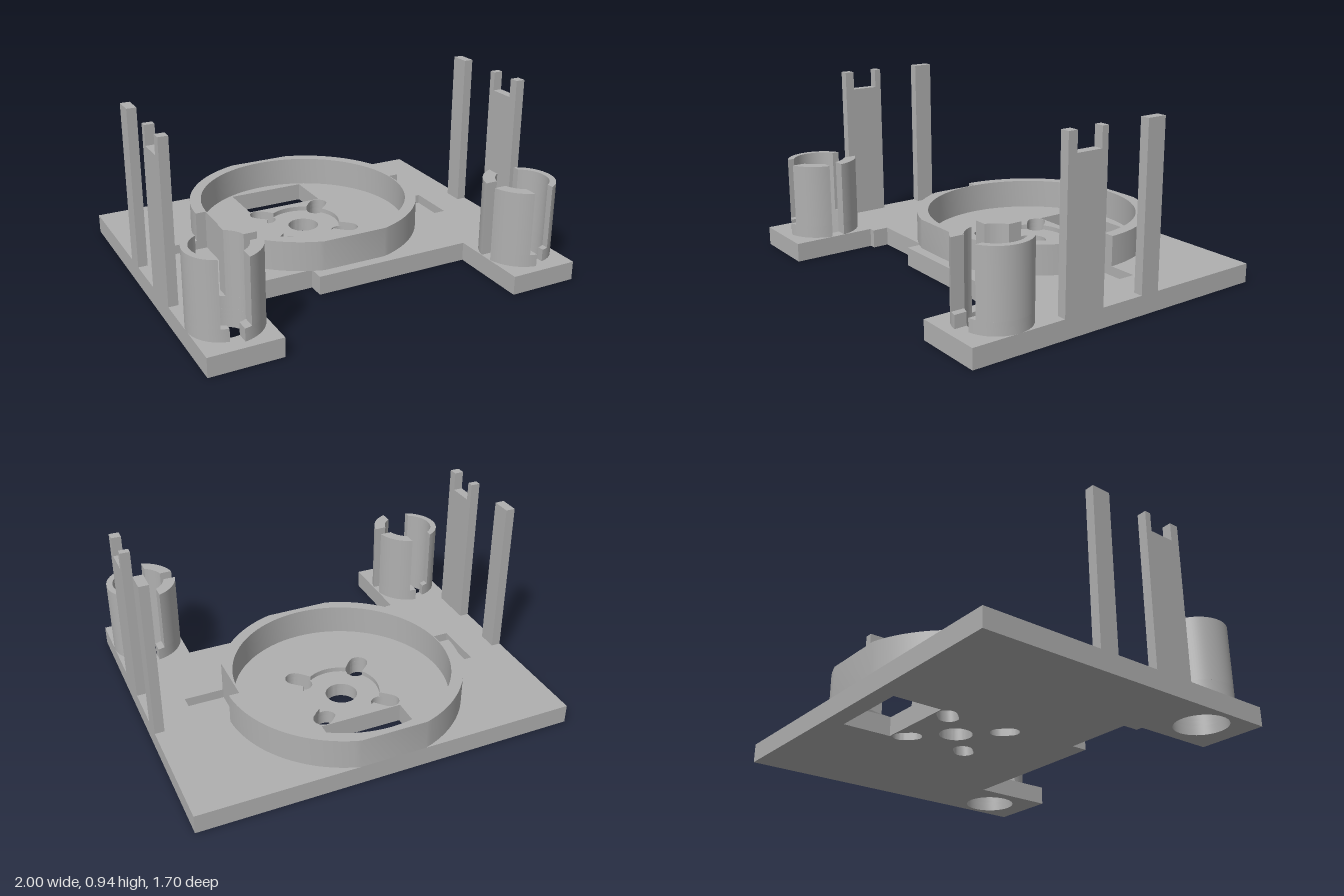
import * as THREE from 'three';
import { toCreasedNormals } from 'three/addons/utils/BufferGeometryUtils.js';

const CZ = -0.25;            // centre of the round seat
const POST_X = 0.83, POST_Z = 0.605; // centres of the corner sockets

const pt = (x, z) => new THREE.Vector2(x, z);
const rect = (x0, z0, x1, z1) => [pt(x0, z0), pt(x1, z0), pt(x1, z1), pt(x0, z1)];

// Points on an arc from angle a0 to a1
function arc(cx, cz, r, a0, a1, n) {
  return Array.from({ length: n + 1 }, (_, i) => {
    const a = a0 + (a1 - a0) * i / n;
    return pt(cx + r * Math.cos(a), cz + r * Math.sin(a));
  });
}
const circle = (cx, cz, r, n = 64) => arc(cx, cz, r, 0, Math.PI * 2 * (1 - 1 / n), n - 1);

// Extrudes an outline in the x/z plane between two heights
function slab(outline, holes, y0, y1) {
  const shape = new THREE.Shape(outline);
  shape.holes = holes.map((h) => new THREE.Path(h));
  const geo = new THREE.ExtrudeGeometry(shape, { depth: y1 - y0, bevelEnabled: false });
  geo.rotateX(Math.PI / 2).translate(0, y1, 0);
  return toCreasedNormals(geo, 0.5);
}

// Radial screw slots around the seat centre
const SLOT_R = 0.05, SLOT_IN = 0.219, SLOT_OUT = 0.267;
function screwSlot(k) {
  const a = Math.PI / 4 + k * Math.PI / 2, c = Math.cos(a), s = Math.sin(a);
  return [
    ...arc(SLOT_OUT * c, CZ + SLOT_OUT * s, SLOT_R, a - Math.PI / 2, a + Math.PI / 2, 16),
    ...arc(SLOT_IN * c, CZ + SLOT_IN * s, SLOT_R, a + Math.PI / 2, a + Math.PI * 1.5, 16),
  ];
}

// Shallow hub recess merged with the four slots
function hubRecess() {
  const n = 240, points = [];
  for (let i = 0; i < n; i++) {
    const a = i / n * Math.PI * 2;
    const d = (a % (Math.PI / 2)) - Math.PI / 4;
    let r = 0.2;
    for (let c = SLOT_IN; c <= SLOT_OUT + 1e-6; c += 0.006) {
      const q = SLOT_R ** 2 - (c * Math.sin(d)) ** 2;
      if (q > 0) r = Math.max(r, c * Math.cos(d) + Math.sqrt(q));
    }
    points.push(pt(r * Math.cos(a), CZ + r * Math.sin(a)));
  }
  return points;
}

// Raised ring, trimmed front and back and at both side pockets
function ringOutline() {
  const R = 0.625, ang = (w) => Math.asin(w / R);
  const right = [
    ...arc(0, CZ, R, ang(-0.6), ang(-0.02), 24),
    pt(0.57, CZ - 0.02), pt(0.57, CZ + 0.25),
    ...arc(0, CZ, R, ang(0.25), ang(0.6), 20),
  ];
  return [...right, ...right.map((p) => pt(-p.x, p.y)).reverse()];
}

export function createModel() {
  const model = new THREE.Group();
  const grey = new THREE.MeshStandardMaterial({ color: 0xb0b0b0 });
  grey.name = 'plain grey';
  const add = (name, geo, parent = model) => {
    const mesh = new THREE.Mesh(geo, grey);
    mesh.name = name;
    parent.add(mesh);
    return mesh;
  };

  // Base plate in three layers, so pockets and hub recess have floors
  const half = [[-1, -0.85], [1, -0.85], [1, 0.85], [0.63, 0.85], [0.63, 0.405],
    [-0.23, 0.405], [-0.23, 0.318], [-0.595, 0.318], [-0.595, 0.405],
    [-0.63, 0.405], [-0.63, 0.85], [-1, 0.85]];
  const outline = half.map(([x, z]) => pt(x, z));
  const through = [
    rect(-0.22, -0.755, 0.22, -0.494),
    circle(POST_X, POST_Z, 0.137), circle(-POST_X, POST_Z, 0.137),
  ];
  const hubHoles = [circle(0, CZ, 0.083), ...[0, 1, 2, 3].map(screwSlot)];
  const pockets = [rect(0.57, -0.27, 0.78, 0), rect(-0.78, -0.27, -0.57, 0)];
  const plate = new THREE.Group();
  plate.name = 'basePlate';
  model.add(plate);
  add('plateBottom', slab(outline, [...through, ...hubHoles], 0, 0.05), plate);
  add('plateMiddle', slab(outline, [...through, ...hubHoles, ...pockets], 0.05, 0.075), plate);
  add('plateTop', slab(outline, [...through, ...pockets, hubRecess()], 0.075, 0.1), plate);

  // Round seat wall
  add('seatRing', slab(ringOutline(), [circle(0, CZ, 0.565, 96)], 0.1, 0.26));

  for (const side of [1, -1]) {
    const label = side > 0 ? 'left' : 'right';

    // Upright side posts: a plain one and a wide one with a notched top
    const rear = new THREE.BoxGeometry(0.05, 0.84, 0.105);
    add(label + 'NarrowPost', rear).position.set(side * 0.975, 0.52, -0.1625);
    const fork = new THREE.Shape([[0.13, 0.1], [0.355, 0.1], [0.355, 0.94], [0.305, 0.94],
      [0.305, 0.84], [0.165, 0.84], [0.165, 0.94], [0.13, 0.94]].map(([z, y]) => pt(-z, y)));
    const forkGeo = new THREE.ExtrudeGeometry(fork, { depth: 0.05, bevelEnabled: false });
    forkGeo.rotateY(Math.PI / 2).translate(side > 0 ? 0.95 : -1, 0, 0);
    add(label + 'NotchedPost', forkGeo);

    // Split sockets: thin outer shell and two thicker inner shells, with a low lip
    const socket = new THREE.Group();
    socket.name = label + 'Socket';
    model.add(socket);
    const place = (points, dir, flip) =>
      points.map((p) => pt(side * (POST_X + dir * p.x), POST_Z + flip * p.y));
    const rIn = 0.137;
    for (const [level, gap, y0, y1] of [['Lip', 0.03, 0.1, 0.165], ['Wall', 0.067, 0.165, 0.5]]) {
      const end = (r) => Math.acos(gap / r);
      const outer = [
        ...arc(0, 0, 0.17, -end(0.17), end(0.17), 32),
        ...arc(0, 0, rIn, end(rIn), -end(rIn), 32),
      ];
      add('outer' + level, slab(place(outer, 1, 1), [], y0, y1), socket);
      const start = (r) => Math.asin(0.035 / r);
      const inner = [
        ...arc(0, 0, 0.2, start(0.2), end(0.2), 16),
        ...arc(0, 0, rIn, end(rIn), start(rIn), 16),
      ];
      add('innerFront' + level, slab(place(inner, -1, 1), [], y0, y1), socket);
      add('innerBack' + level, slab(place(inner, -1, -1), [], y0, y1), socket);
    }
  }
  return model;
}
